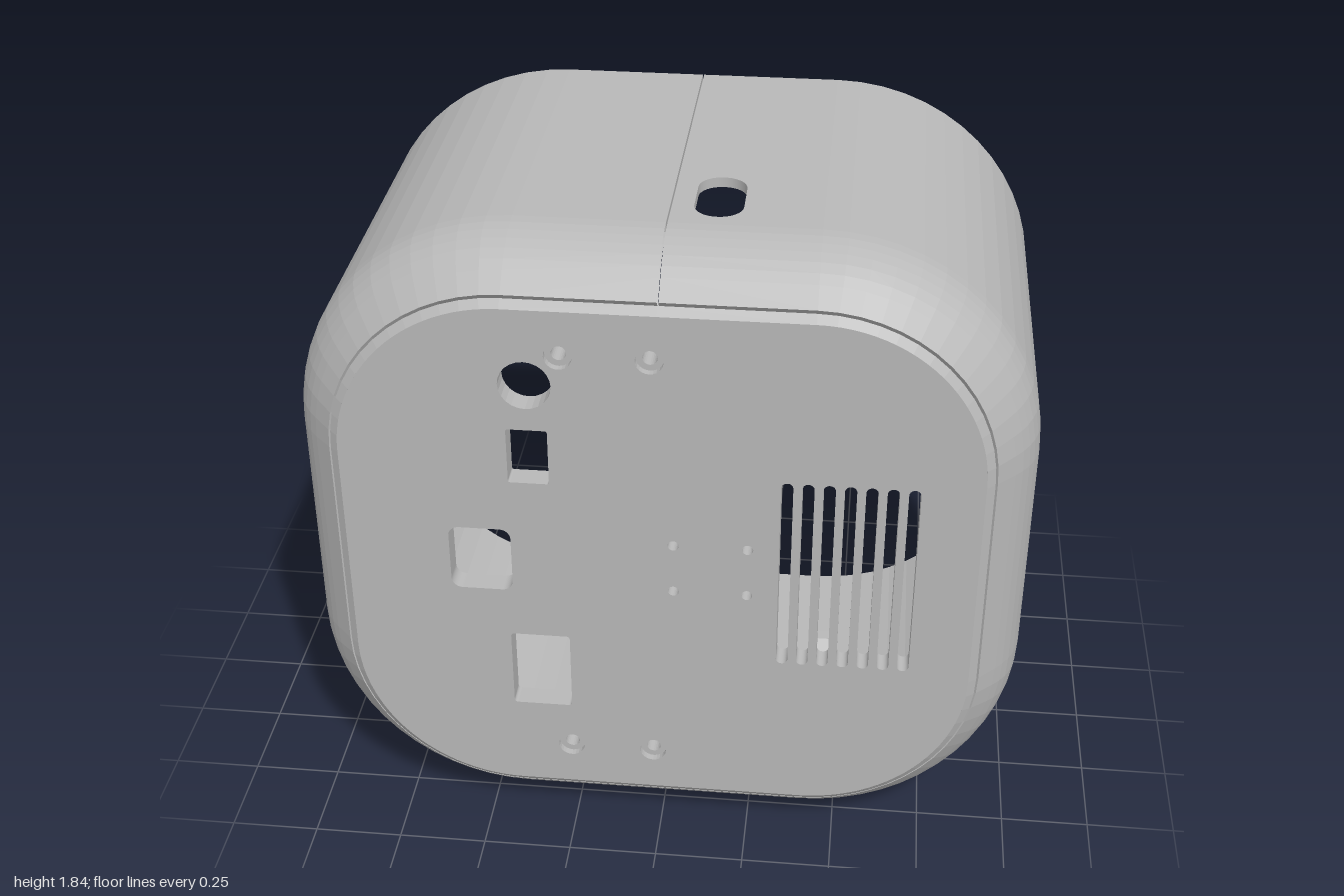
import * as THREE from 'three';

const W = 1, H = 1.84, BACK = -0.62, BEND = 0.38, R = 0.6, T = 0.028, GAP = 0.002;

const grey = new THREE.MeshStandardMaterial({ color: 0xb8b8b8, flatShading: true, side: THREE.DoubleSide });
grey.name = 'grey plastic';

function add(parent, name, geometry, x = 0, y = 0, z = 0) {
  const mesh = new THREE.Mesh(geometry, grey);
  mesh.name = name;
  mesh.position.set(x, y, z);
  parent.add(mesh);
  return mesh;
}

// Rounded rectangle given by its limits
function roundRect(x0, x1, y0, y1, r, Type = THREE.Path) {
  const p = new Type();
  p.absarc(x1 - r, y1 - r, r, 0, Math.PI / 2);
  p.absarc(x0 + r, y1 - r, r, Math.PI / 2, Math.PI);
  p.absarc(x0 + r, y0 + r, r, Math.PI, Math.PI * 1.5);
  p.absarc(x1 - r, y0 + r, r, Math.PI * 1.5, Math.PI * 2);
  p.closePath();
  return p;
}
const circle = (x, y, r, Type = THREE.Path) => new Type().absarc(x, y, r, 0, Math.PI * 2);
const polygon = (pts) => new THREE.Shape(pts.map(([x, y]) => new THREE.Vector2(x, y)));

function extrude(shape, depth, holes = []) {
  shape.holes.push(...holes);
  return new THREE.ExtrudeGeometry(shape, { depth, bevelEnabled: false, curveSegments: 12 });
}

// Quarter arc of the outline; the corner is at the top (1) or bottom (-1) of the +x half
function cornerPath(inset, top) {
  const pts = [], r = R - inset, n = 14;
  for (let i = 0; i <= n; i++) {
    const a = (top > 0 ? 1 - i / n : -i / n) * Math.PI / 2;
    pts.push([W - R + r * Math.cos(a), (top > 0 ? H - R : R) + r * Math.sin(a)]);
  }
  return pts;
}
const halfPath = (gap) => (inset) =>
  [[gap, H - inset], ...cornerPath(inset, 1), ...cornerPath(inset, -1), [gap, inset]];

// Sweeps a closed profile of [inset, z] points along an outline
function sweep(profile, path) {
  const rows = profile.map(([inset, z]) => path(inset).map(([x, y]) => [x, y, z]));
  const pos = [];
  for (let j = 0; j < rows.length; j++) {
    const p = rows[j], q = rows[(j + 1) % rows.length];
    for (let i = 0; i + 1 < p.length; i++) {
      pos.push(...p[i], ...q[i], ...q[i + 1], ...p[i], ...q[i + 1], ...p[i + 1]);
    }
  }
  const g = new THREE.BufferGeometry();
  g.setAttribute('position', new THREE.Float32BufferAttribute(pos, 3));
  g.computeVertexNormals();
  return g;
}

function addShell(group) {
  const shell = new THREE.Group();
  shell.name = 'shell';
  group.add(shell);

  // Rounded corners and curved front edge, in two mirrored halves
  const wall = [[0, BACK], [0, BEND], [T, BEND], [T, BACK]];
  const outer = [], inner = [], bend = 0.24;
  for (let i = 0; i <= 6; i++) {
    const a = i / 6 * Math.PI / 4, s = Math.sin(a), c = 1 - Math.cos(a);
    outer.push([bend * c, BEND + bend * s]);
    inner.unshift([T + (bend - T) * c, BEND + (bend - T) * s]);
  }
  const rim = [...outer, [0.117, 0.597], [0.14, 0.577], ...inner];
  for (const side of [1, -1]) {
    const half = new THREE.Group();
    half.name = side > 0 ? 'leftHalf' : 'rightHalf';
    half.scale.x = side;
    add(half, 'upperCorner', sweep(wall, (d) => cornerPath(d, 1)));
    add(half, 'lowerCorner', sweep(wall, (d) => cornerPath(d, -1)));
    add(half, 'frontRim', sweep(rim, halfPath(GAP)));
    shell.add(half);
  }

  // Top and bottom walls, with a cable slot in the left half
  for (const [name, y] of [['topWall', H - T], ['bottomWall', 0]]) {
    for (const side of [1, -1]) {
      const a = side * GAP, b = side * (W - R);
      const shape = polygon([[a, -BEND], [b, -BEND], [b, -BACK], [a, -BACK]]);
      const slot = side > 0 ? [roundRect(0.06, 0.19, -0.335, -0.095, 0.064)] : [];
      add(shell, name, extrude(shape, T, slot).rotateX(-Math.PI / 2), 0, y);
    }
  }

  // Side walls; the right one has a window and vent slots
  const sideShape = () => polygon([[BACK, R], [BEND, R], [BEND, H - R], [BACK, H - R]]);
  const openings = [roundRect(-0.28, 0.22, 0.72, 1.21, 0.05)];
  for (let i = 0; i < 8; i++) {
    const y = 0.765 + i * 0.06;
    openings.push(roundRect(-0.535, -0.38, y - 0.015, y + 0.015, 0.0145));
  }
  add(shell, 'leftWall', extrude(sideShape(), T).rotateY(-Math.PI / 2), W);
  add(shell, 'rightWall', extrude(sideShape(), T, openings).rotateY(-Math.PI / 2), -W + T);
}

function addFrontPanel(group) {
  const panel = new THREE.Group();
  panel.name = 'frontPanel';
  group.add(panel);
  const screws = [[-0.255, 1.565], [-0.02, 1.565], [-0.255, 0.28], [-0.02, 0.28]];
  const pins = () => [[0.04, 1], [0.24, 1], [0.04, 0.85], [0.24, 0.85]].map(([x, y]) => circle(x, y, 0.015));

  // Plate with ports, pin holes, screw holes and speaker slots
  const holes = [
    circle(-0.345, 1.475, 0.07),
    roundRect(-0.4, -0.29, 1.175, 1.34, 0.006),
    roundRect(-0.572, -0.402, 0.82, 1.02, 0.03),
    roundRect(-0.415, -0.25, 0.425, 0.67, 0.01),
    ...screws.map(([x, y]) => circle(x, y, 0.037)),
    ...pins(),
  ];
  for (let i = 0; i < 7; i++) {
    const x = 0.34 + i * 0.0555;
    holes.push(roundRect(x - 0.016, x + 0.016, 0.625, 1.22, 0.0155));
  }
  const d = 0.145;
  add(panel, 'plate', extrude(roundRect(-W + d, W - d, d, H - d, R - d, THREE.Shape), 0.065, holes), 0, 0, 0.555);

  // Chamfered lip around the plate
  for (const side of [1, -1]) {
    add(panel, 'plateLip', sweep([[0.123, 0.602], [d, 0.62], [d, 0.602]], halfPath(0))).scale.x = side;
  }

  // Screw bosses recessed behind the plate
  for (const [x, y] of screws) {
    add(panel, 'screwBoss', extrude(circle(0, 0, 0.037, THREE.Shape), 0.13, [circle(0, 0, 0.02)]), x, y, 0.47);
  }

  // Thick mounting block behind the pin holes
  const block = polygon([[0.025, 0.24], [0.27, 0.24], [0.27, 1.61], [0.025, 1.61],
    [0.025, 1.51], [-0.045, 1.51], [-0.045, 0.33], [0.025, 0.33]]);
  add(panel, 'mountingBlock', extrude(block, 0.105, pins()), 0, 0, 0.45);

  // Stiffening rib along the top, right and bottom
  const rib = polygon([[0.6, 1.66], [-0.5, 1.66], [-0.73, 1.43], [-0.73, 0.41], [-0.5, 0.18], [0.6, 0.18],
    [0.67, 0.235], [-0.475, 0.235], [-0.675, 0.435], [-0.675, 1.405], [-0.475, 1.605], [0.67, 1.605]]);
  add(panel, 'stiffeningRib', extrude(rib, 0.075), 0, 0, 0.48);
}

// Pair of hooked rail brackets on the floor, repeated upside down on the ceiling
function addBrackets(group) {
  const rail = [[-0.19, T], [0.32, T], [0.32, 0.085], [0.28, 0.085], [0.26, 0.065],
    [-0.15, 0.065], [-0.18, 0.1], [-0.22, 0.1]];
  for (const up of [1, -1]) {
    const set = new THREE.Group();
    set.name = up > 0 ? 'floorBrackets' : 'ceilingBrackets';
    set.scale.y = up;
    set.position.y = up > 0 ? 0 : H;
    for (const x of [-0.125, 0.355]) {
      for (const s of [-1, 1]) {
        add(set, 'bracketRail', extrude(polygon(rail), 0.045).rotateY(-Math.PI / 2), x + s * 0.09 + 0.0225);
      }
      for (const z of [-0.12, 0.27]) {
        add(set, 'bracketCrossbar', new THREE.BoxGeometry(0.14, 0.025, 0.03), x, T + 0.0125, z);
      }
    }
    group.add(set);
  }
}

export function createModel() {
  const group = new THREE.Group();
  group.name = 'enclosure';
  addShell(group);
  addFrontPanel(group);
  addBrackets(group);
  return group;
}
